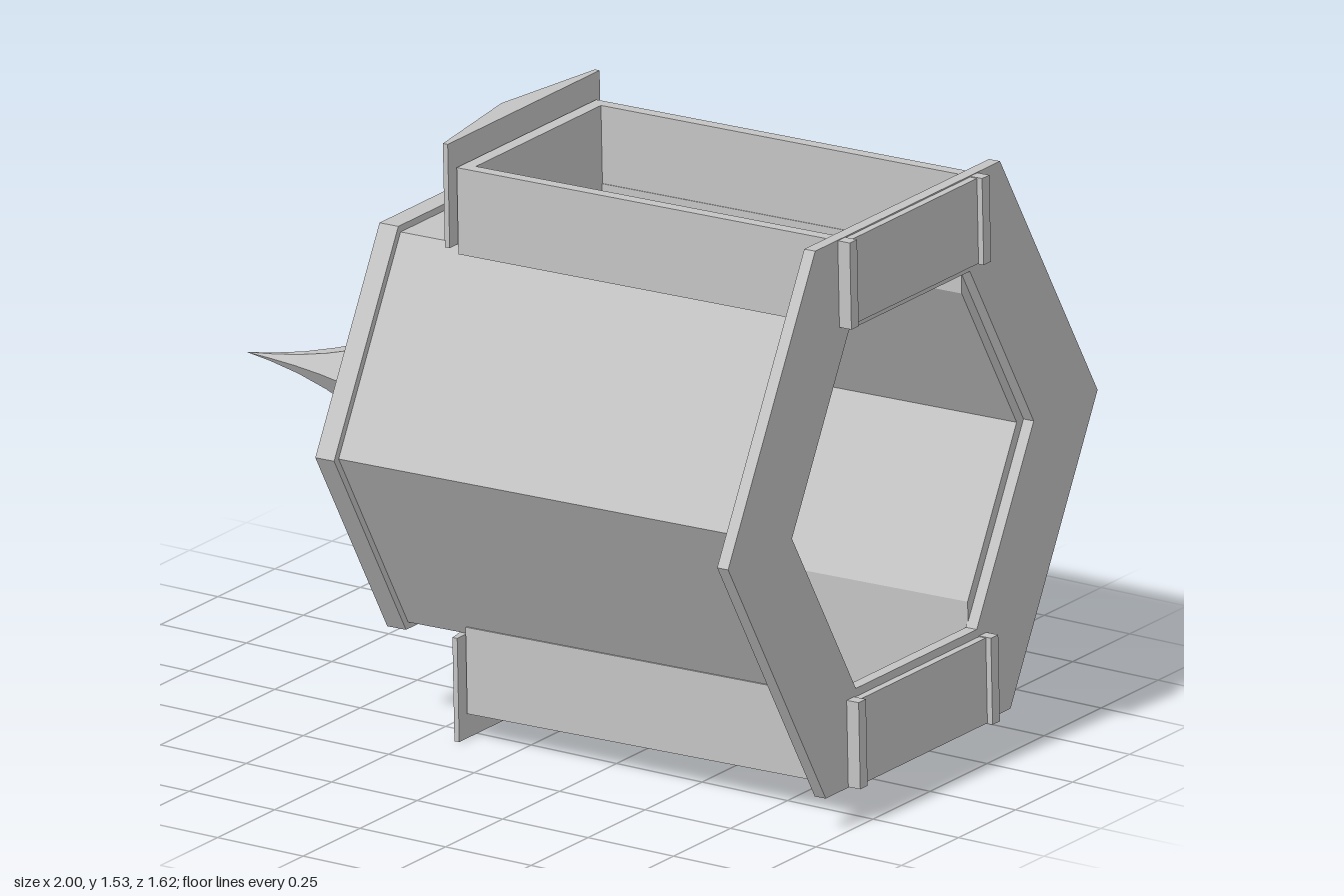
import * as THREE from 'three';

export function createModel() {
  const root = new THREE.Group();
  root.name = 'hexagonalLantern';
  const body = new THREE.Group();
  body.name = 'tiltedBody';
  body.position.y = 0.769;
  body.rotation.z = 0.022;
  root.add(body);

  const grey = new THREE.MeshStandardMaterial({ color: 0xc4c4c4 });
  grey.name = 'plainGrey';

  // Adds a mesh with crisp facets
  function add(geometry, name, parent = body) {
    const flat = geometry.index ? geometry.toNonIndexed() : geometry;
    flat.computeVertexNormals();
    const mesh = new THREE.Mesh(flat, grey);
    mesh.name = name;
    parent.add(mesh);
    return mesh;
  }

  // Hexagon corners (z, y) with points at the sides and flats above and below
  const hex = (r) => Array.from({ length: 6 }, (_, i) =>
    new THREE.Vector2(r * Math.cos(i * Math.PI / 3), r * Math.sin(i * Math.PI / 3)));

  // Extrudes a (z, y) outline along x
  function prism(points, x0, x1, hole) {
    const shape = new THREE.Shape(points);
    if (hole) shape.holes.push(new THREE.Path(hole));
    const g = new THREE.ExtrudeGeometry(shape, { depth: x1 - x0, bevelEnabled: false });
    return g.rotateY(Math.PI / 2).translate(x0, 0, 0);
  }

  // Six-sided frustum along x, r0 at x0 (the spire side) and r1 at x1
  function frustum(r0, r1, x0, x1) {
    return new THREE.CylinderGeometry(r0, r1, x1 - x0, 6)
      .rotateZ(Math.PI / 2).translate((x0 + x1) / 2, 0, 0);
  }

  function box(x0, x1, y0, y1, z0, z1) {
    return new THREE.BoxGeometry(x1 - x0, y1 - y0, z1 - z0)
      .translate((x0 + x1) / 2, (y0 + y1) / 2, (z0 + z1) / 2);
  }

  // Slanted wall pairs on both sides, leaving the flats open
  for (const s of [1, -1]) {
    const outline = [[0.289, 0.5], [0.577, 0], [0.289, -0.5], [0.272, -0.5],
      [0.272, -0.395], [0.5, 0], [0.272, 0.395], [0.272, 0.5]]
      .map(([z, y]) => new THREE.Vector2(s * z, y));
    add(prism(outline, -0.35, 0.92), s > 0 ? 'slantedWallsA' : 'slantedWallsB');
  }

  // Wide rim at the open end, and the collar and floor at the closed end
  add(prism(hex(0.81), 0.918, 0.95, hex(0.53)), 'openRim');
  add(frustum(0.597, 0.597, -0.4, -0.345), 'collar');

  // Stepped roof and spire
  add(frustum(0.465, 0.5, -0.47, -0.4), 'roofStep');
  add(frustum(0.05, 0.465, -0.6, -0.47), 'roof');
  add(frustum(0.05, 0.05, -0.622, -0.598), 'spireCollar');
  add(frustum(0.012, 0.012, -0.68, -0.62), 'spireRod');
  const spikeProfile = [[0, 0.675], [0.08, 0.675], [0.053, 0.75], [0.028, 0.84], [0.01, 0.93], [0, 1]]
    .map(([r, y]) => new THREE.Vector2(r, y));
  add(new THREE.LatheGeometry(spikeProfile, 6).rotateZ(Math.PI / 2), 'spike');

  // Window box on the upper flat, mirrored to the lower flat by a half turn
  for (const side of ['upper', 'lower']) {
    const win = new THREE.Group();
    win.name = side + 'Window';
    if (side === 'lower') win.rotation.x = Math.PI;
    body.add(win);
    add(box(-0.35, -0.13, 0.435, 0.5, -0.275, 0.275), 'wallEnd', win);
    for (const s of [1, -1]) {
      add(box(-0.165, 0.985, 0.478, 0.7, s * 0.29 - 0.016, s * 0.29 + 0.016), 'frameSide', win);
    }
    add(box(-0.165, -0.13, 0.478, 0.7, -0.275, 0.275), 'frameEnd', win);
    add(box(0.945, 0.97, 0.48, 0.698, -0.275, 0.275), 'frontPanel', win);

    // Shallow gable standing against the frame end
    const gable = new THREE.Shape([[-0.172, -0.333], [-0.172, 0.333], [-0.186, 0.333],
      [-0.237, 0], [-0.186, -0.333]].map(([x, z]) => new THREE.Vector2(x, z)));
    const g = new THREE.ExtrudeGeometry(gable, { depth: 0.266, bevelEnabled: false })
      .rotateX(-Math.PI / 2).translate(0, 0.5, 0);
    add(g, 'gable', win);
  }

  return root;
}
